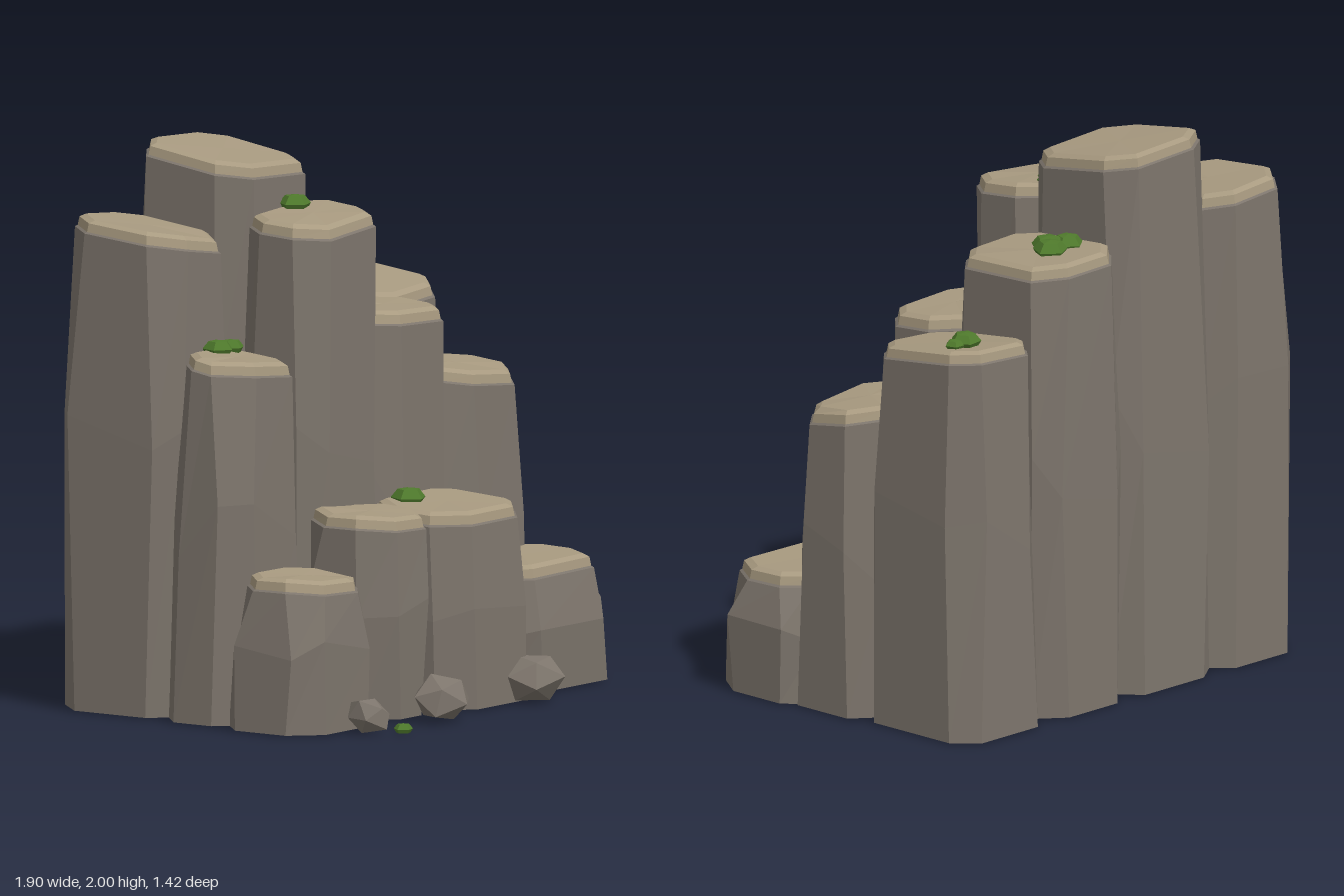
import * as THREE from 'three';

const paint = (color) => new THREE.MeshStandardMaterial({ color, flatShading: true, roughness: 0.9 });
const stone = paint(0x7d756c);
const stoneTop = paint(0xa89a80);
const leaf = paint(0x4f7a2c);

// repeatable noise in -1..1
const noise = (n) => {
  const s = Math.sin(n * 127.1 + 11.7) * 43758.5453;
  return (s - Math.floor(s)) * 2 - 1;
};

// closed loft through rings of [x, y, z], bottom to top
function loft(rings) {
  const n = rings[0].length;
  const pos = rings.flat(2);
  const idx = [];
  for (let r = 0; r < rings.length - 1; r++) {
    for (let i = 0; i < n; i++) {
      const a = r * n + i, b = r * n + (i + 1) % n;
      idx.push(a, a + n, b, b, a + n, b + n);
    }
  }
  const centre = (ring) => [0, 1, 2].map((k) => ring.reduce((s, p) => s + p[k], 0) / n);
  const last = rings.length - 1;
  pos.push(...centre(rings[0]), ...centre(rings[last]));
  const low = rings.length * n, high = low + 1;
  for (let i = 0; i < n; i++) {
    const j = (i + 1) % n;
    idx.push(low, i, j, high, last * n + j, last * n + i);
  }
  const g = new THREE.BufferGeometry();
  g.setAttribute('position', new THREE.Float32BufferAttribute(pos, 3));
  g.setIndex(idx);
  const flat = g.toNonIndexed();
  flat.computeVertexNormals();
  return flat;
}

// rectangle with its corners cut off, each cut a little different
function octagon([x0, x1, z0, z1], inset, height, seed) {
  const l = x0 + inset, r = x1 - inset, b = z0 + inset, f = z1 - inset;
  const cut = (i) => 0.095 + 0.025 * noise(seed * 9 + i) - inset * 0.4;
  return [
    [r, b + cut(0)], [r, f - cut(1)], [r - cut(2), f], [l + cut(3), f],
    [l, f - cut(4)], [l, b + cut(5)], [l + cut(6), b], [r - cut(7), b],
  ].map(([x, z]) => [x, height(x, z), z]);
}

const mix = (a, b, t) => a.map((v, i) => v + (b[i] - v) * t);

// base and top: [x0, x1, z0, z1]; h: centre height, slope in x, slope in z; bulge: swelling halfway
const columns = [
  { name: 'backColumn', base: [-0.88, -0.42, -0.71, -0.17], top: [-0.86, -0.45, -0.68, -0.18], h: [1.735, -0.08, -0.11] },
  { name: 'backColumn', base: [-0.46, 0.04, -0.71, -0.16], top: [-0.46, 0.02, -0.66, -0.17], h: [1.965, -0.04, -0.12] },
  { name: 'backColumn', base: [0, 0.46, -0.71, -0.15], top: [0.01, 0.44, -0.69, -0.17], h: [1.655, -0.02, -0.06] },
  { name: 'backColumn', base: [0.42, 0.88, -0.71, -0.16], top: [0.44, 0.85, -0.68, -0.18], h: [1.405, 0.1, -0.13] },
  { name: 'middleColumn', base: [-0.91, -0.43, -0.24, 0.15], top: [-0.87, -0.46, -0.19, 0.12], h: [1.295, -0.06, -0.1] },
  { name: 'middleColumn', base: [-0.45, 0.02, -0.24, 0.16], top: [-0.46, 0.01, -0.19, 0.15], h: [1.765, 0.05, -0.1] },
  { name: 'middleColumn', base: [0, 0.47, -0.24, 0.16], top: [0.01, 0.45, -0.2, 0.13], h: [1.38, -0.05, -0.08] },
  { name: 'middleColumn', base: [0.43, 0.91, -0.24, 0.18], top: [0.45, 0.88, -0.2, 0.15], h: [1.12, -0.07, -0.1] },
  { name: 'frontColumn', base: [-0.95, -0.48, 0.07, 0.49], top: [-0.91, -0.5, 0.12, 0.46], h: [0.54, -0.06, -0.05], bulge: 0.012 },
  { name: 'frontColumn', base: [-0.48, -0.14, 0.07, 0.48], top: [-0.5, -0.11, 0.11, 0.48], h: [0.725, -0.03, -0.05], bulge: 0.018 },
  { name: 'frontColumn', base: [-0.12, 0.37, 0.07, 0.56], top: [-0.11, 0.36, 0.11, 0.53], h: [0.71, 0.02, -0.05], bulge: 0.01 },
  { name: 'frontColumn', base: [0.37, 0.94, 0.07, 0.5], top: [0.36, 0.9, 0.11, 0.47], h: [0.455, 0.01, -0.03], bulge: 0.025 },
];

function makeColumn({ name, base, top, h, bulge = 0.005 }, seed) {
  const cx = (top[0] + top[1]) / 2, cz = (top[2] + top[3]) / 2;
  const tilt = (drop) => (x, z) => h[0] - drop + h[1] * (x - cx) + h[2] * (z - cz)
    + 0.008 * noise(seed + Math.round(Math.atan2(z - cz, x - cx) * 1.3));
  const mid = mix(base, top, 0.45);
  const waist = (x, z) => h[0] * (0.52 + 0.1 * noise(seed * 3 + x * 5 + z * 7));

  const column = new THREE.Group();
  column.name = name;
  // shaft with a narrow sloping shoulder
  const shaft = new THREE.Mesh(loft([
    octagon(base, 0, () => 0, seed),
    octagon(mid, -bulge, waist, seed + 0.4),
    octagon(top, 0, tilt(0.05), seed),
    octagon(top, 0.02, tilt(0.035), seed),
  ]), stone);
  shaft.name = 'shaft';
  // weathered slab on top
  const slab = new THREE.Mesh(loft([
    octagon(top, 0.008, tilt(0.046), seed),
    octagon(top, 0.014, tilt(0.012), seed),
    octagon(top, 0.035, tilt(0), seed),
  ]), stoneTop);
  slab.name = 'topSlab';
  column.add(shaft, slab);
  return column;
}

// loose boulder: icosahedron with its corners pushed about
function makeBoulder([x, y, z, rx, ry, rz], seed) {
  const g = new THREE.IcosahedronGeometry(1, 0);
  g.rotateX(0.4 + seed).rotateZ(seed * 1.7);
  const p = g.attributes.position;
  const v = new THREE.Vector3();
  for (let i = 0; i < p.count; i++) {
    v.fromBufferAttribute(p, i);
    const key = Math.round(v.x * 50) + Math.round(v.y * 50) * 3 + Math.round(v.z * 50) * 7;
    v.multiplyScalar(1 + 0.12 * noise(key + seed));
    p.setXYZ(i, v.x * rx, Math.max(v.y * ry, -y), v.z * rz);
  }
  g.computeVertexNormals();
  const boulder = new THREE.Mesh(g, stone);
  boulder.name = 'boulder';
  boulder.position.set(x, y, z);
  return boulder;
}

// five-sided tuft of moss, flat on top
function makeTuft([x, y, z, r], seed) {
  const h = r * 0.72;
  const profile = [[0, -h * 0.35], [r * 0.75, -h * 0.3], [r, h * 0.25], [r * 0.62, h * 0.9], [0, h]];
  const tuft = new THREE.Mesh(
    new THREE.LatheGeometry(profile.map(([a, b]) => new THREE.Vector2(a, b)), 5), leaf);
  tuft.name = 'mossTuft';
  tuft.position.set(x, y, z);
  tuft.rotation.y = seed * 1.1;
  return tuft;
}

export function createModel() {
  const model = new THREE.Group();
  model.name = 'rockCliff';
  columns.forEach((c, i) => model.add(makeColumn(c, i + 1)));

  [
    [-0.705, 0.06, 0.575, 0.07, 0.07, 0.09],
    [-0.295, 0.08, 0.605, 0.125, 0.09, 0.1],
    [0.285, 0.08, 0.585, 0.125, 0.09, 0.11],
  ].forEach((b, i) => model.add(makeBoulder(b, i + 1)));

  [
    [-0.64, 1.305, -0.13, 0.058], [-0.57, 1.305, -0.125, 0.05],
    [-0.18, 1.775, -0.125, 0.06], [-0.13, 1.775, -0.15, 0.045],
    [0.125, 1.66, -0.485, 0.06], [0.23, 1.66, -0.5, 0.065], [0.195, 1.66, -0.455, 0.065],
    [0.7, 1.43, -0.53, 0.058], [0.755, 1.43, -0.53, 0.036],
    [0.05, 0.715, 0.21, 0.066],
    [-0.625, 0.005, 0.67, 0.036], [-0.61, 0.005, 0.645, 0.024],
  ].forEach((t, i) => model.add(makeTuft(t, i)));
  return model;
}
